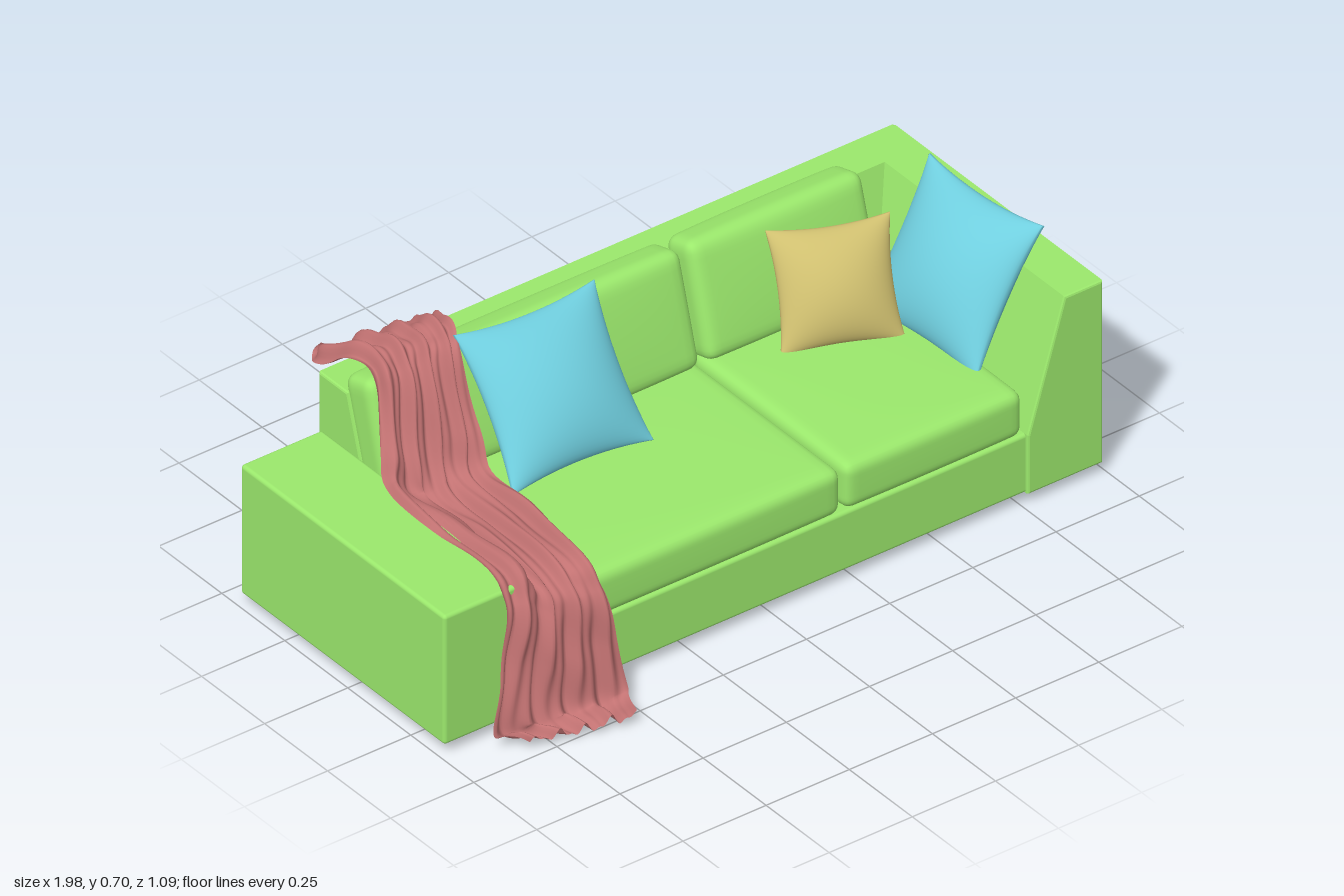
import * as THREE from 'three';
import { mergeVertices } from 'three/addons/utils/BufferGeometryUtils.js';
import { RoundedBoxGeometry } from 'three/addons/geometries/RoundedBoxGeometry.js';

const material = (color, side = THREE.FrontSide) => new THREE.MeshStandardMaterial({ color, side, roughness: 0.9 });
const green = material(0x9be86c);
const blue = material(0x70cfdf);
const yellow = material(0xd0c070);
const red = material(0xc27272, THREE.DoubleSide);
const grey = material(0x77777c);

// Weld a deformed geometry so its normals are smooth
function smooth(geometry) {
  geometry.deleteAttribute('uv');
  geometry.deleteAttribute('normal');
  const welded = mergeVertices(geometry, 1e-5);
  welded.computeVertexNormals();
  return welded;
}

// Rounded box with softly bulging large faces; bulge is a vector
function cushionGeometry(w, h, d, r, bulge) {
  const geometry = new THREE.BoxGeometry(w, h, d, 28, 20, 20);
  const p = geometry.attributes.position;
  const half = new THREE.Vector3(w / 2, h / 2, d / 2);
  const inner = half.clone().subScalar(r);
  const v = new THREE.Vector3(), core = new THREE.Vector3();
  for (let i = 0; i < p.count; i++) {
    v.fromBufferAttribute(p, i);
    // Crowd the grid toward the edges so the rounding is well sampled
    for (const a of ['x', 'y', 'z']) v[a] = half[a] * Math.sin((v[a] / half[a]) * Math.PI / 2);
    core.copy(v).clamp(inner.clone().negate(), inner);
    v.sub(core).setLength(r).add(core);
    const u = v.clone().divide(half);
    const fx = 1 - u.x ** 2, fy = 1 - u.y ** 2, fz = 1 - u.z ** 2;
    v.x += bulge.x * u.x * fy * fz;
    v.y += bulge.y * u.y * Math.sqrt(Math.max(fx * fz, 0));
    v.z += bulge.z * u.z * Math.sqrt(Math.max(fx * fy, 0));
    p.setXYZ(i, v.x, v.y, v.z);
  }
  return smooth(geometry);
}

// Square pillow with pointed corners, hollowed sides and a full middle
function pillowGeometry(size, thickness) {
  const geometry = new THREE.BoxGeometry(2, 2, 2, 28, 28, 1);
  const p = geometry.attributes.position;
  for (let i = 0; i < p.count; i++) {
    const u = Math.sin(p.getX(i) * Math.PI / 2), v = Math.sin(p.getY(i) * Math.PI / 2);
    const fu = Math.max(1 - u * u, 0), fv = Math.max(1 - v * v, 0);
    p.setXYZ(i,
      u * (1 - 0.09 * fv) * size / 2,
      v * (1 - 0.09 * fu) * size / 2,
      Math.sign(p.getZ(i)) * (0.003 + Math.pow(fu * fv, 0.6) * thickness / 2));
  }
  return smooth(geometry);
}

// Sloped wall: profile is thick at the bottom, extruded along its length
function wallGeometry(length) {
  const shape = new THREE.Shape([[0, 0.03], [0.225, 0.03], [0.225, 0.2], [0.115, 0.56], [0, 0.56]]
    .map(([x, y]) => new THREE.Vector2(x, y)));
  const b = 0.006;
  const geometry = new THREE.ExtrudeGeometry(shape, {
    depth: length - 2 * b, bevelSize: b, bevelThickness: b, bevelOffset: -b, bevelSegments: 2,
  });
  return geometry.translate(0, 0, b);
}

// Draped cloth lofted between a left-hand and a right-hand edge curve
function throwGeometry() {
  const edge = (points) => new THREE.CatmullRomCurve3(points.map((q) => new THREE.Vector3(...q)));
  const outer = edge([
    [-0.81, 0.012, 0.47], [-0.88, 0.03, 0.41], [-0.86, 0.2, 0.4], [-0.83, 0.36, 0.39],
    [-0.82, 0.412, 0.35], [-0.81, 0.412, 0.1], [-0.79, 0.415, -0.12], [-0.77, 0.48, -0.17],
    [-0.73, 0.61, -0.24], [-0.72, 0.645, -0.3], [-0.73, 0.62, -0.38], [-0.74, 0.57, -0.46],
    [-0.71, 0.52, -0.51], [-0.67, 0.47, -0.545]]);
  const innerEdge = edge([
    [-0.54, 0.012, 0.54], [-0.50, 0.02, 0.44], [-0.505, 0.16, 0.41], [-0.52, 0.3, 0.385],
    [-0.53, 0.35, 0.34], [-0.50, 0.355, 0.1], [-0.49, 0.355, -0.12], [-0.48, 0.46, -0.18],
    [-0.48, 0.63, -0.25], [-0.46, 0.66, -0.29], [-0.44, 0.645, -0.36], [-0.41, 0.6, -0.41],
    [-0.38, 0.56, -0.43], [-0.37, 0.53, -0.42]]);
  const geometry = new THREE.PlaneGeometry(1, 1, 64, 130);
  const p = geometry.attributes.position, uv = geometry.attributes.uv;
  const a = new THREE.Vector3(), b = new THREE.Vector3();
  for (let i = 0; i < p.count; i++) {
    const u = uv.getX(i), v = uv.getY(i);
    outer.getPoint(v, a);
    innerEdge.getPoint(v, b);
    const x = a.x + (b.x - a.x) * u;
    // Step down from the arm to the seat
    const y = a.y + (b.y - a.y) * THREE.MathUtils.smoothstep(x, -0.76, -0.69);
    // The middle of the hanging end sags
    const sag = THREE.MathUtils.smoothstep(v, 0.84, 1) * Math.sin(Math.PI * u);
    p.setXYZ(i, x, y - 0.05 * sag, a.z + (b.z - a.z) * u - 0.03 * sag);
  }
  geometry.computeVertexNormals();
  // Lengthwise folds pushed out along the surface
  const n = geometry.attributes.normal;
  for (let i = 0; i < p.count; i++) {
    const u = uv.getX(i), v = uv.getY(i);
    const fold = 0.012 + 0.012 * Math.sin(u * 27 + 2.2 * Math.sin(v * 7))
      + 0.007 * Math.sin(u * 51 - 5 * v + Math.sin(v * 16))
      + 0.004 * Math.sin(v * 60 + u * 9);
    const s = Math.sign(n.getY(i) + n.getZ(i) * 0.5) || 1;
    const k = v > 0.8 ? 1 : s;
    p.setXYZ(i, p.getX(i) + n.getX(i) * fold * k,
      Math.max(0.006, p.getY(i) + n.getY(i) * fold * k), p.getZ(i) + n.getZ(i) * fold * k);
  }
  geometry.computeVertexNormals();
  return geometry;
}

export function createModel() {
  const group = new THREE.Group();
  const add = (name, geometry, mat, position = [0, 0, 0], rotation = [0, 0, 0]) => {
    const mesh = new THREE.Mesh(geometry, mat);
    mesh.name = name;
    mesh.position.set(...position);
    mesh.rotation.set(...rotation);
    group.add(mesh);
    return mesh;
  };
  const block = (name, x0, x1, y0, y1, z0, z1) => add(name,
    new RoundedBoxGeometry(x1 - x0, y1 - y0, z1 - z0, 3, 0.01), green,
    [(x0 + x1) / 2, (y0 + y1) / 2, (z0 + z1) / 2]);

  // Frame
  block('base', -0.745, 0.78, 0.03, 0.2, -0.44, 0.36);
  block('lowArm', -0.99, -0.745, 0.03, 0.405, -0.44, 0.37);
  add('tallArm', wallGeometry(0.83), green, [0.99, 0, 0.37], [0, Math.PI, 0]);
  add('backrest', wallGeometry(1.73), green, [0.99, 0, -0.46], [0, -Math.PI / 2, 0]);

  // Seat and back cushions, one wide and one narrow
  for (const [x0, x1] of [[-0.74, 0.214], [0.224, 0.76]]) {
    const w = x1 - x0, x = (x0 + x1) / 2;
    add('seatCushion', cushionGeometry(w, 0.13, 0.62, 0.028, new THREE.Vector3(0, 0.008, 0.004)),
      green, [x, 0.262, 0.05]);
    add('backCushion', cushionGeometry(w - 0.01, 0.31, 0.11, 0.03, new THREE.Vector3(0, 0.006, 0.014)),
      green, [x, 0.462, -0.28], [-0.28, 0, 0]);
  }

  // Loose pillows
  const big = pillowGeometry(0.41, 0.15);
  const pillow = (name, geometry, mat, position, yaw, tilt) => {
    const mesh = add(name, geometry, mat, position);
    mesh.rotation.set(tilt, yaw, 0, 'YXZ');
  };
  pillow('bluePillow', big, blue, [-0.28, 0.5, -0.135], -0.04, -0.65);
  pillow('leaningPillow', big, blue, [0.805, 0.485, 0.02], -Math.PI / 2 + 0.08, -0.55);
  pillow('yellowPillow', pillowGeometry(0.31, 0.13), yellow, [0.56, 0.455, -0.125], -0.39, -0.5);

  add('throwBlanket', throwGeometry(), red);

  // Feet
  const foot = new THREE.CylinderGeometry(0.033, 0.033, 0.035, 24);
  for (const x of [-0.87, 0.88]) for (const z of [0.27, -0.345]) add('foot', foot, grey, [x, 0.0175, z]);

  return group;
}
